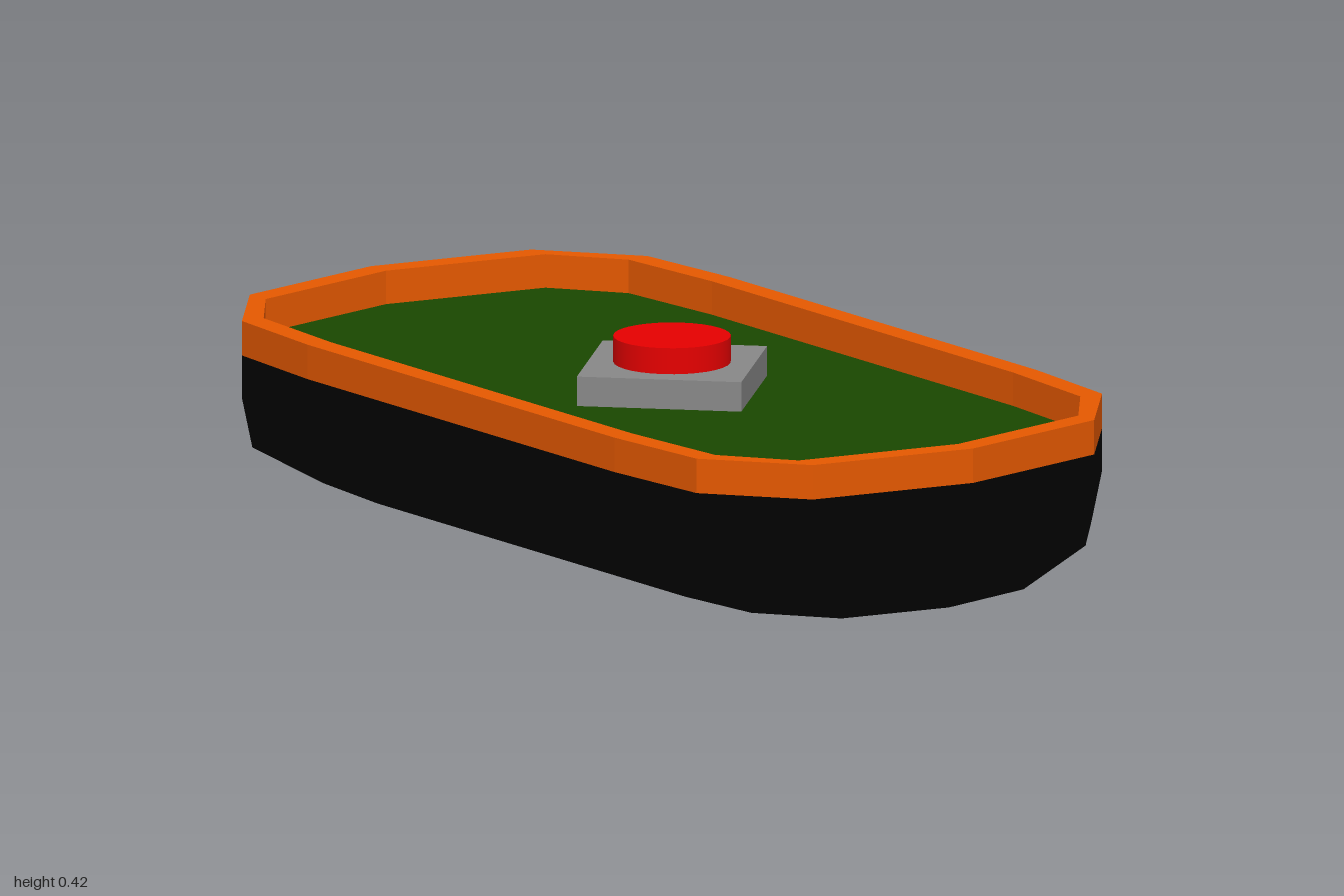
import * as THREE from 'three';

const paint = (name, color) => {
  const m = new THREE.MeshStandardMaterial({ color });
  m.name = name;
  return m;
};

// Quarter outline [x, z] from the end point to the long side, mirrored to a full loop
function loop(q) {
  const flip = (sx, sz) => q.map(([x, z]) => [x * sx, z * sz]);
  const right = [...flip(1, 1), ...flip(1, -1).reverse()];
  const left = right.slice(1, -1).reverse().map(([x, z]) => [-x, z]);
  return [...right, ...left];
}

const OUTER = [[0, 1], [0.34, 0.935], [0.49, 0.755], [0.51, 0.51]];
const INNER = [[0, 0.95], [0.338, 0.885], [0.441, 0.75], [0.46, 0.5]];

// Counter-clockwise points for a shape
const toVectors = (q) => loop(q).map(([x, z]) => new THREE.Vector2(x, z)).reverse();

// Faceted hull: horizontal rings joined from the keel line up to the rim
function hullGeometry() {
  const levels = [
    [[0.005, 0.004, 0.002, 0], [[0, 0.74], [0, 0.7], [0, 0.62], [0, 0.51]]],
    [[0.041, 0.038, 0.035, 0.033], [[0, 0.92], [0.22, 0.865], [0.325, 0.71], [0.34, 0.51]]],
    [[0.123, 0.121, 0.12, 0.12], [[0, 0.99], [0.33, 0.92], [0.472, 0.745], [0.49, 0.51]]],
    [[0.22, 0.22, 0.22, 0.22], OUTER],
    [[0.305, 0.305, 0.305, 0.305], OUTER],
  ];
  const rings = levels.map(([ys, q]) => {
    const right = [...ys, ...[...ys].reverse()];
    const heights = [...right, ...right.slice(1, -1).reverse()];
    return loop(q).map(([x, z], i) => [x, heights[i], z]);
  });
  const pos = [];
  for (let k = 0; k < rings.length - 1; k++) {
    const lo = rings[k], hi = rings[k + 1], n = lo.length;
    for (let i = 0; i < n; i++) {
      const j = (i + 1) % n;
      pos.push(...lo[i], ...lo[j], ...hi[j], ...lo[i], ...hi[j], ...hi[i]);
    }
  }
  const g = new THREE.BufferGeometry();
  g.setAttribute('position', new THREE.Float32BufferAttribute(pos, 3));
  g.computeVertexNormals();
  return g;
}

export function createModel() {
  const group = new THREE.Group();
  const add = (name, geometry, material, y = 0) => {
    const mesh = new THREE.Mesh(geometry, material);
    mesh.name = name;
    mesh.position.y = y;
    group.add(mesh);
    return mesh;
  };

  add('hull', hullGeometry(), paint('black', 0x010101));

  // Raised rim around the edge
  const rimShape = new THREE.Shape(toVectors(OUTER));
  rimShape.holes.push(new THREE.Path(toVectors(INNER).reverse()));
  const rim = new THREE.ExtrudeGeometry(rimShape, { depth: 0.069, bevelEnabled: false });
  add('rim', rim.rotateX(-Math.PI / 2), paint('orange', 0xe65900), 0.305);

  // Flat deck inside the rim
  const deck = new THREE.ShapeGeometry(new THREE.Shape(toVectors(INNER)));
  add('deck', deck.rotateX(-Math.PI / 2), paint('dark green', 0x1a4800), 0.307);

  // Square plate turned to a diamond, with a round button on top
  const side = 0.23 * Math.SQRT2;
  const plate = add('plate', new THREE.BoxGeometry(side, 0.06, side), paint('grey', 0x888888), 0.336);
  plate.rotation.y = Math.PI / 4;
  add('button', new THREE.CylinderGeometry(0.115, 0.115, 0.058, 32), paint('red', 0xe60000), 0.389);

  return group;
}
